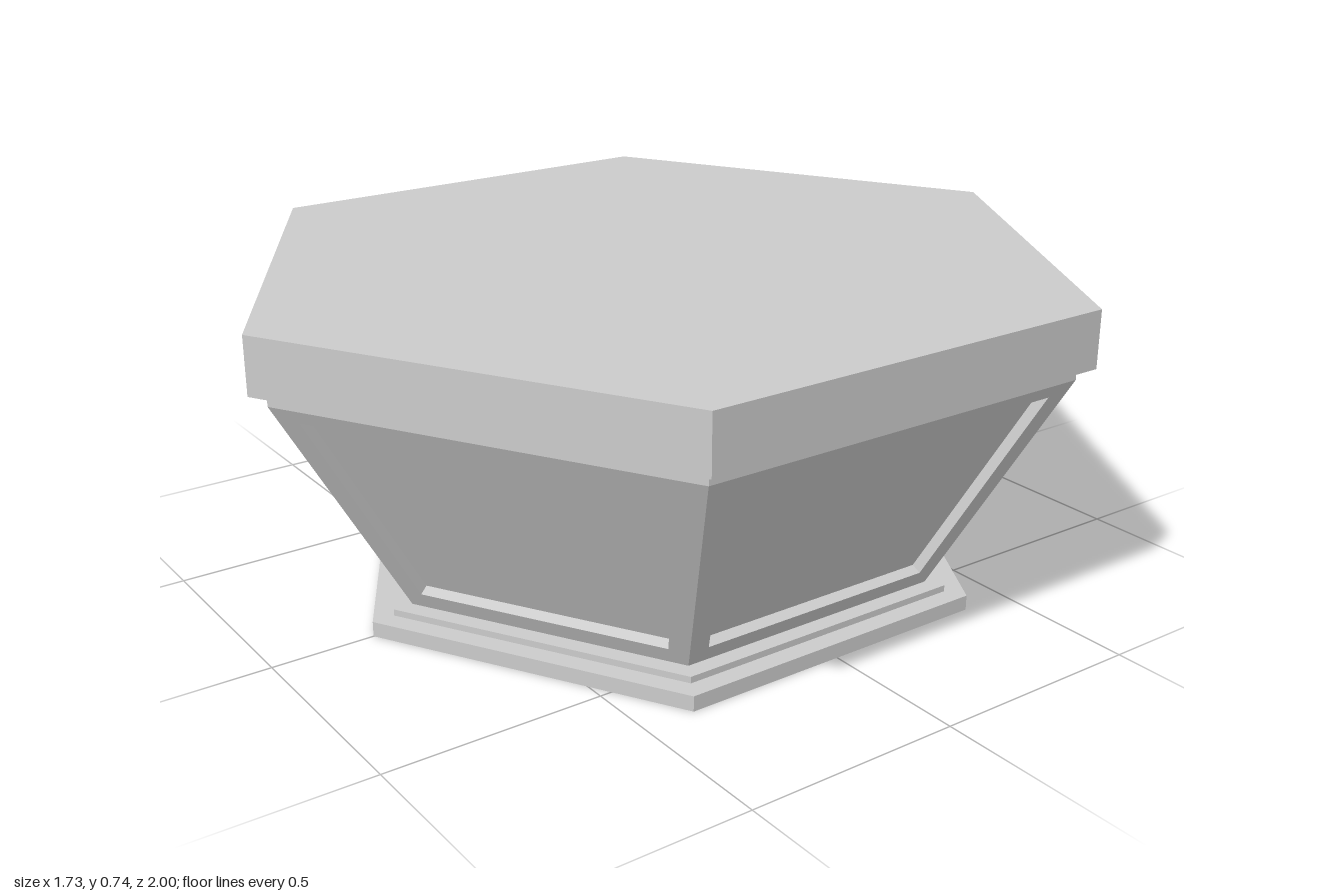
import * as THREE from 'three';

const SIDES = 6;
const APOTHEM = Math.cos(Math.PI / SIDES);
const Y0 = 0.05, Y1 = 0.58;   // sloped body heights
const R0 = 0.664, R1 = 0.96;  // corner radii at those heights
const DEPTH = 0.025;          // panel recess

const material = new THREE.MeshStandardMaterial({ color: 0xcccccc, flatShading: true });

function hexTier(name, rTop, rBottom, yBottom, yTop) {
  const geometry = new THREE.CylinderGeometry(rTop, rBottom, yTop - yBottom, SIDES);
  geometry.translate(0, (yTop + yBottom) / 2, 0);
  const mesh = new THREE.Mesh(geometry, material);
  mesh.name = name;
  return mesh;
}

// Symmetric trapezoid outline: half widths and heights along the slope
function trapezoid(path, w0, v0, w1, v1) {
  path.moveTo(-w0, v0);
  path.lineTo(w0, v0);
  path.lineTo(w1, v1);
  path.lineTo(-w1, v1);
  path.closePath();
  return path;
}

export function createModel() {
  const group = new THREE.Group();
  group.name = 'hexagonalPedestal';

  const tilt = Math.atan2((R1 - R0) * APOTHEM, Y1 - Y0);
  const slope = (y) => (y - Y0) / Math.cos(tilt);

  // Stepped foot
  group.add(hexTier('basePlate', 0.762, 0.762, 0, 0.035));
  group.add(hexTier('baseStep', 0.71, 0.71, 0.035, Y0));

  // Inner body, whose faces are the recessed panels
  const inset = DEPTH / Math.cos(tilt) / APOTHEM;
  group.add(hexTier('recessedPanels', R1 - inset, R0 - inset, Y0, Y1));

  // Raised frame around each panel (hexagon side = corner radius)
  const outline = trapezoid(new THREE.Shape(), R0 / 2, 0, R1 / 2, slope(Y1));
  outline.holes.push(trapezoid(new THREE.Path(), 0.295, slope(0.09), 0.417, slope(0.55)));
  const frameGeometry = new THREE.ExtrudeGeometry(outline, { depth: DEPTH, bevelEnabled: false });
  frameGeometry.translate(0, 0, -DEPTH);

  for (let i = 0; i < SIDES; i++) {
    const side = new THREE.Group();
    side.name = 'side' + (i + 1);
    side.rotation.y = ((i + 0.5) / SIDES) * Math.PI * 2;
    const frame = new THREE.Mesh(frameGeometry, material);
    frame.name = 'panelFrame';
    frame.position.set(0, Y0, R0 * APOTHEM);
    frame.rotation.x = tilt;
    side.add(frame);
    group.add(side);
  }

  // Rim and thick top slab
  group.add(hexTier('rim', R1, R1, Y1, 0.61));
  group.add(hexTier('topSlab', 1, 1, 0.61, 0.74));
  return group;
}
